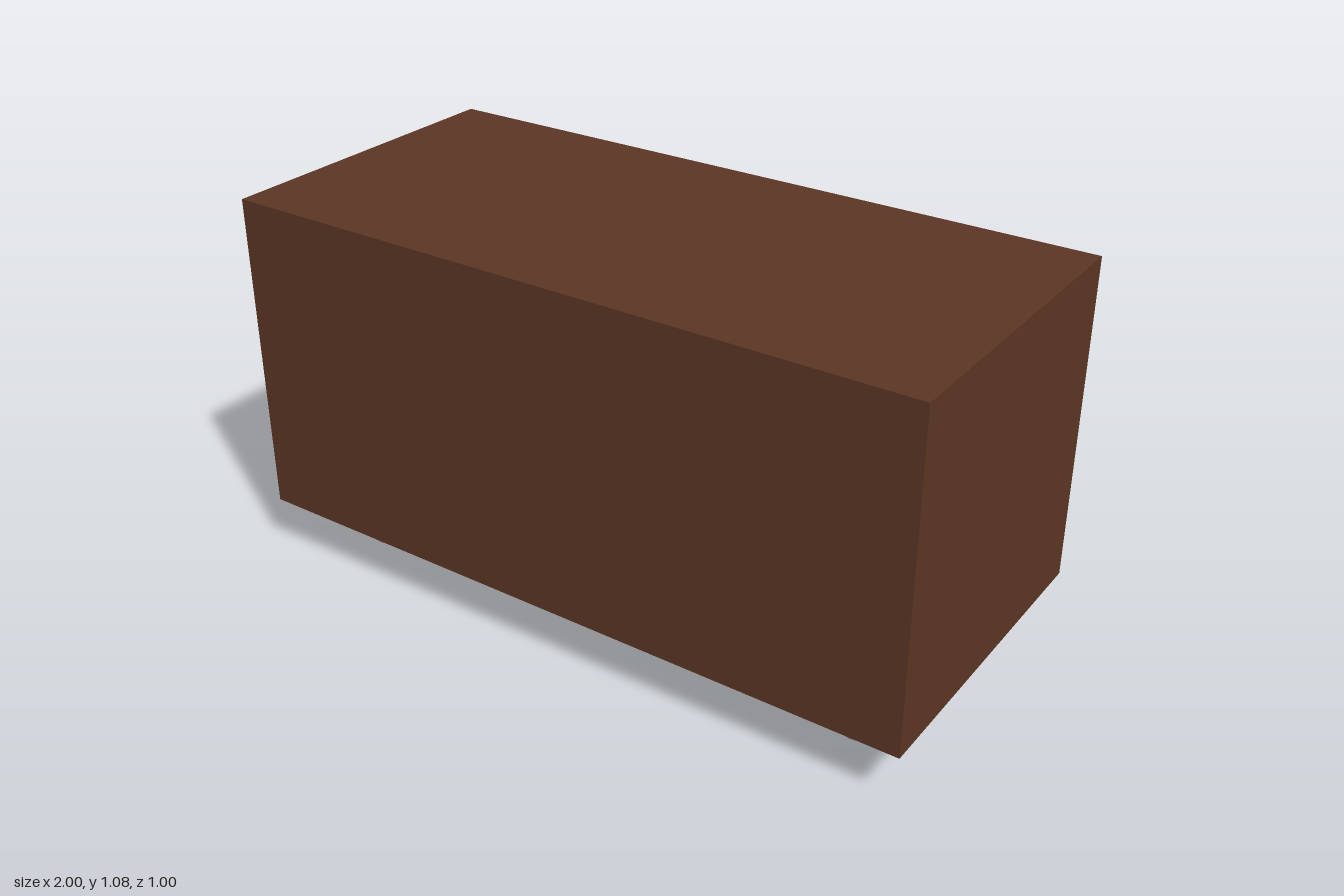
import * as THREE from 'three';

export function createModel() {
  const wood = new THREE.MeshStandardMaterial({ color: 0x5a3523 });
  wood.name = 'brown wood';
  const dark = new THREE.MeshStandardMaterial({ color: 0x28200c });
  dark.name = 'dark wood';
  const fitting = new THREE.MeshStandardMaterial({ color: 0x98857a });
  fitting.name = 'taupe fittings';

  const model = new THREE.Group();
  model.name = 'cabinet';
  const add = (name, geometry, material, x, y, z, parent = model) => {
    const mesh = new THREE.Mesh(geometry, material);
    mesh.name = name;
    mesh.position.set(x, y, z);
    parent.add(mesh);
    return mesh;
  };

  // Carcass
  add('body', new THREE.BoxGeometry(2, 0.92, 0.92), wood, 0, 0.62, 0.04);

  // Dark stain on the underside, with a curved border
  const stain = new THREE.Shape();
  stain.moveTo(-1, 0.5);
  stain.lineTo(-1, -0.42);
  stain.splineThru([[-0.3, -0.37], [0.33, -0.316], [0.83, -0.23], [1, 0.16]]
    .map(([x, z]) => new THREE.Vector2(x, z)));
  stain.lineTo(1, 0.5);
  add('undersideStain', new THREE.ShapeGeometry(stain).rotateX(Math.PI / 2), dark, 0, 0.159, 0);

  // Drawer and doors: brown faces with dark edges
  const panelMaterials = [dark, dark, dark, dark, wood, wood];
  const panel = (name, x0, x1, y0, y1) => add(name,
    new THREE.BoxGeometry(x1 - x0, y1 - y0, 0.009), panelMaterials,
    (x0 + x1) / 2, (y0 + y1) / 2, -0.4245);
  panel('drawerFront', -0.95, 0.95, 0.854, 1.04);
  panel('rightDoor', -0.95, -0.004, 0.2, 0.848);
  panel('leftDoor', 0.004, 0.95, 0.2, 0.848);

  // Drawer knob
  const knob = new THREE.Group();
  knob.name = 'drawerKnob';
  knob.position.set(0, 0.938, 0);
  model.add(knob);
  add('knobStem', new THREE.CylinderGeometry(0.026, 0.03, 0.04, 20).rotateX(Math.PI / 2),
    fitting, 0, 0, -0.445, knob);
  add('knobHead', new THREE.SphereGeometry(0.051, 24, 16).scale(1, 1, 0.64),
    fitting, 0, 0, -0.467, knob);

  for (const side of [-1, 1]) {
    // Ring pulls, hanging with the lower edge tipped outwards
    const pull = new THREE.Group();
    pull.name = side > 0 ? 'leftRingPull' : 'rightRingPull';
    pull.position.set(side * 0.497, 0, 0);
    model.add(pull);
    add('pullStem', new THREE.CylinderGeometry(0.019, 0.019, 0.045, 16).rotateX(Math.PI / 2),
      fitting, 0, 0.767, -0.4485, pull);
    const ring = add('pullRing', new THREE.TorusGeometry(0.051, 0.013, 12, 32),
      fitting, 0, 0.72, -0.472, pull);
    ring.rotation.x = 0.12;

    // Bulging turned legs
    for (const z of [0.297, -0.217]) {
      const profile = [[0, 0], [0.031, 0], [0.044, 0.065], [0.049, 0.115], [0.043, 0.165]]
        .map(([r, y]) => new THREE.Vector2(r, y));
      const foot = new THREE.LatheGeometry(profile.slice(1), 18);
      const name = (z > 0 ? 'front' : 'back') + (side > 0 ? 'Left' : 'Right') + 'Leg';
      const leg = new THREE.Group();
      leg.name = name;
      leg.position.set(side * 0.785, 0, z);
      model.add(leg);
      add('legShaft', foot, fitting, 0, 0, 0, leg);
      add('legSole', new THREE.CircleGeometry(0.031, 18).rotateX(Math.PI / 2), fitting, 0, 0, 0, leg);
    }
  }

  return model;
}
